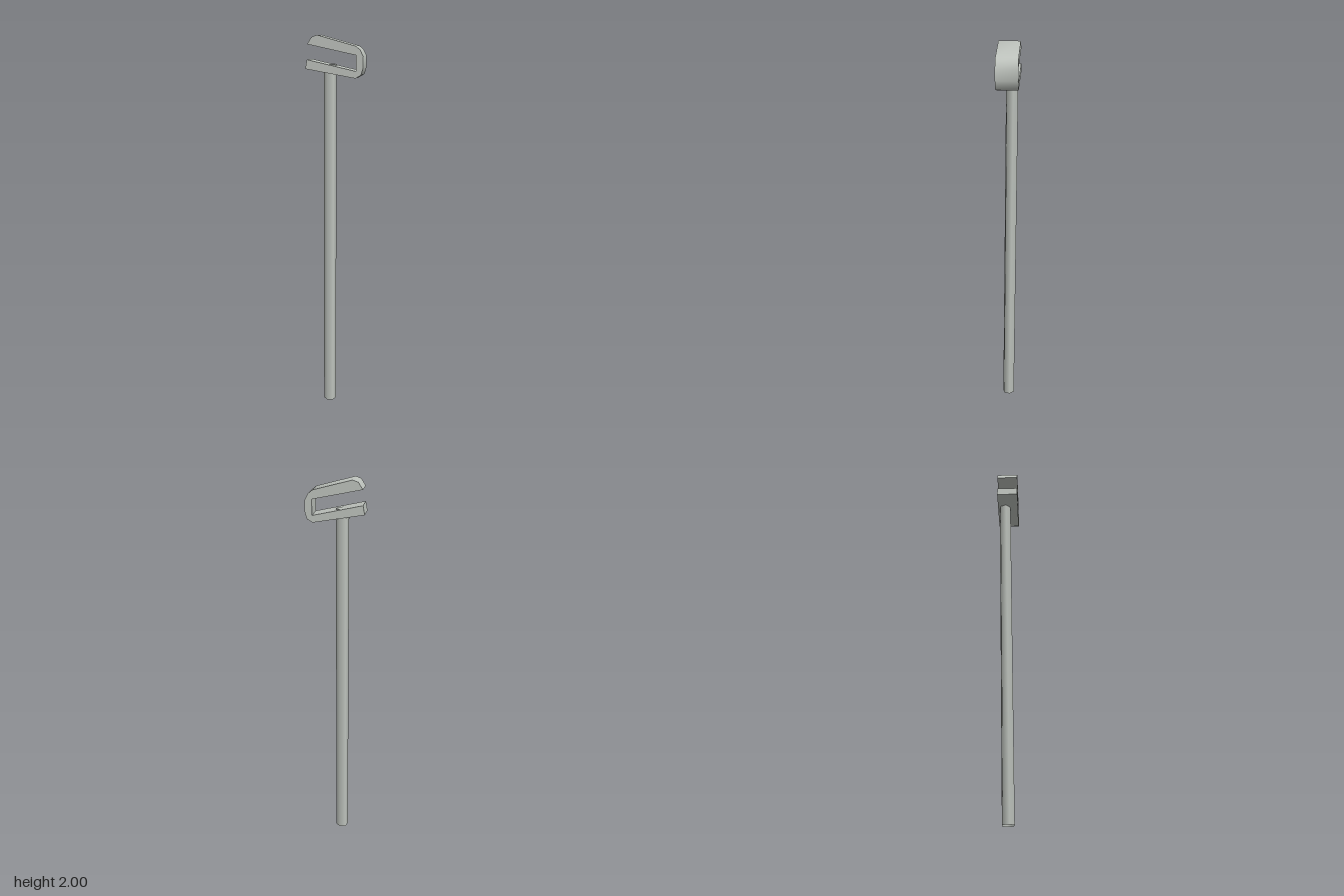
import * as THREE from 'three';
import { toCreasedNormals } from 'three/addons/utils/BufferGeometryUtils.js';

export function createModel() {
  const model = new THREE.Group();
  model.name = 'clampPole';
  const metal = new THREE.MeshStandardMaterial({ color: 0xbec3bd, side: THREE.DoubleSide });
  metal.name = 'pale grey metal';

  // Clamp head: a slanted C profile, extruded and turned about the pole
  const turn = 0.204;
  const profile = [
    [-0.16, 1.833], [0.092, 1.788], [0.119, 1.804], [0.13, 1.839],
    [0.13, 1.897], [0.114, 1.929], [0.092, 1.947],
    [-0.1, 2.0], [-0.128, 1.99], [-0.15, 1.955],
    [0.095, 1.902], [0.095, 1.823], [-0.152, 1.879],
  ].map(([x, y]) => new THREE.Vector2(x / Math.cos(turn), y));
  const depth = 0.113;
  const clampGeometry = new THREE.ExtrudeGeometry(new THREE.Shape(profile), { depth, bevelEnabled: false });
  clampGeometry.translate(0, 0, -depth);
  const clamp = new THREE.Mesh(toCreasedNormals(clampGeometry, 0.8), metal);
  clamp.name = 'clampHead';
  clamp.rotation.y = -turn;
  clamp.position.z = 0.056;
  model.add(clamp);

  // Six-sided hollow pole, leaning slightly back, its tip showing through the lower jaw
  const foot = new THREE.Vector3(-0.038, 0, -0.008);
  const tip = new THREE.Vector3(-0.033, 1.856, -0.026);
  const axis = tip.clone().sub(foot);
  const pole = new THREE.Group();
  pole.name = 'pole';
  pole.position.copy(foot);
  pole.quaternion.setFromUnitVectors(new THREE.Vector3(0, 1, 0), axis.clone().normalize());

  const radius = 0.033;
  const tubeGeometry = new THREE.CylinderGeometry(radius, radius, axis.length(), 6, 1, true, Math.PI / 6);
  tubeGeometry.translate(0, axis.length() / 2, 0);
  const tube = new THREE.Mesh(tubeGeometry, metal);
  tube.name = 'poleTube';
  pole.add(tube);

  // Cap closing the top of the pole
  const cap = new THREE.Mesh(new THREE.CircleGeometry(radius, 6), metal);
  cap.name = 'poleCap';
  cap.rotation.x = -Math.PI / 2;
  cap.position.y = axis.length();
  pole.add(cap);
  model.add(pole);

  return model;
}
